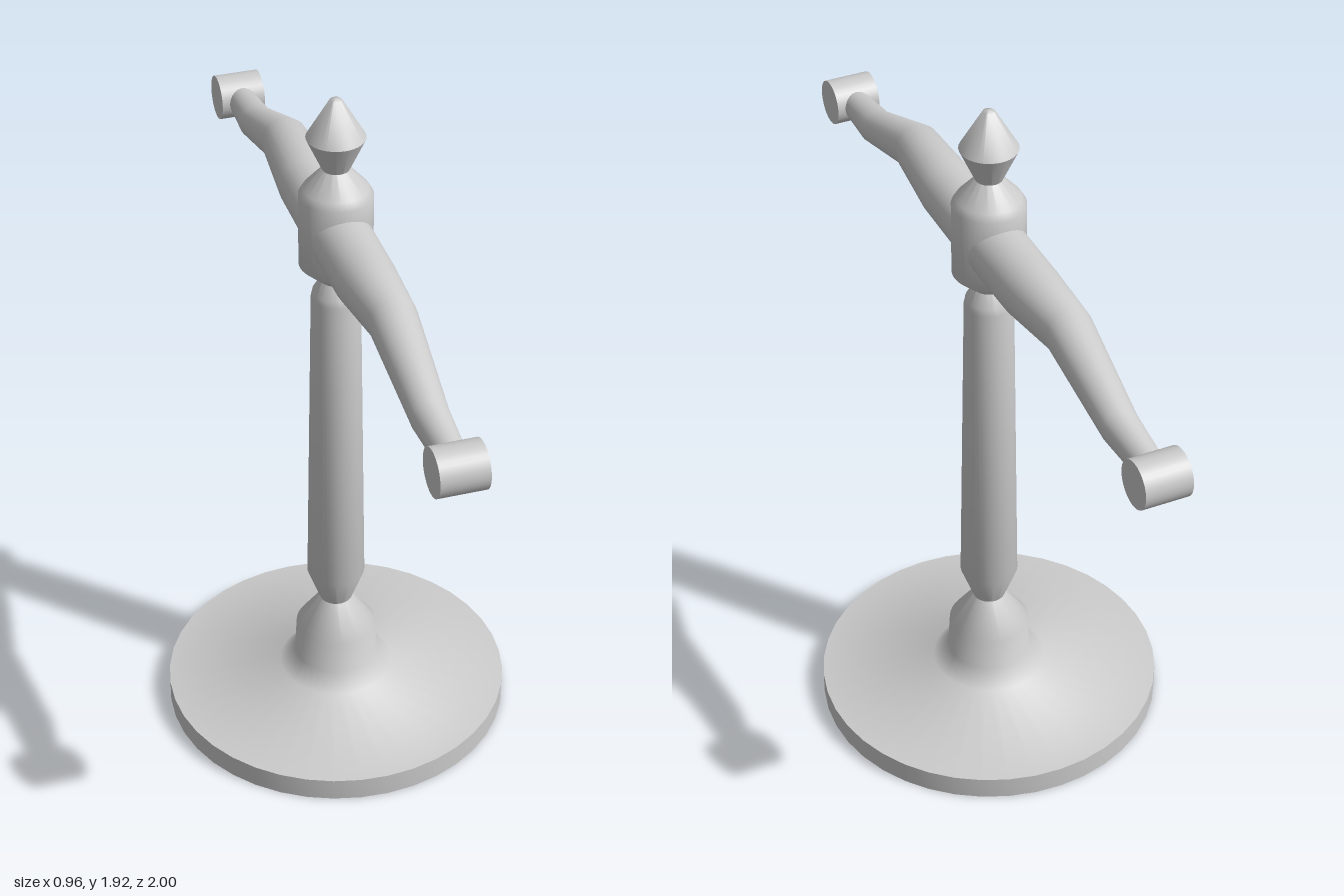
import * as THREE from 'three';
import { toCreasedNormals } from 'three/addons/utils/BufferGeometryUtils.js';

const material = new THREE.MeshStandardMaterial({ color: 0xcccccc });

function addMesh(parent, name, geometry) {
  const mesh = new THREE.Mesh(geometry, material);
  mesh.name = name;
  parent.add(mesh);
  return mesh;
}

function turned(profile) {
  const points = profile.map(([r, y]) => new THREE.Vector2(r, y));
  return toCreasedNormals(new THREE.LatheGeometry(points, 40), 0.9);
}

// Elliptical sections [z, centre y, half width, half height], joined along z
function loft(sections, sides = 28) {
  const positions = [], index = [];
  for (const [z, y, w, h] of sections) {
    for (let j = 0; j < sides; j++) {
      const a = (j / sides) * Math.PI * 2;
      positions.push(w * Math.cos(a), y + h * Math.sin(a), z);
    }
  }
  for (let i = 0; i < sections.length - 1; i++) {
    for (let j = 0; j < sides; j++) {
      const k = (j + 1) % sides;
      const a = i * sides + j, b = i * sides + k;
      index.push(a, b, a + sides, b, b + sides, a + sides);
    }
  }
  const geometry = new THREE.BufferGeometry();
  geometry.setAttribute('position', new THREE.Float32BufferAttribute(positions, 3));
  geometry.setIndex(index);
  geometry.computeVertexNormals();
  return geometry;
}

export function createModel() {
  const model = new THREE.Group();
  model.name = 'balanceStand';

  // Round foot and its collar
  addMesh(model, 'base', turned([
    [0, 0], [0.48, 0], [0.48, 0.065], [0.16, 0.1], [0.117, 0.145],
    [0.112, 0.24], [0.045, 0.335],
  ]));

  // Tapered post
  addMesh(model, 'post', turned([
    [0.045, 0.335], [0.08, 0.43], [0.066, 1.34], [0.062, 1.36], [0.042, 1.395],
  ]));

  // Hub around the arms, with a pointed finial
  addMesh(model, 'hubAndFinial', turned([
    [0.042, 1.395], [0.097, 1.445], [0.097, 1.65], [0.085, 1.67], [0.036, 1.725],
    [0.077, 1.815], [0.016, 1.92], [0, 1.925],
  ]));

  // Drooping beam: one half listed, the other mirrored
  const half = [
    [0.25, 1.54, 0.08, 0.08], [0.465, 1.555, 0.064, 0.066],
    [0.745, 1.46, 0.049, 0.051], [0.92, 1.448, 0.038, 0.038],
  ];
  const mirrored = half.map(([z, ...rest]) => [-z, ...rest]).reverse();
  addMesh(model, 'beam', loft([...mirrored, [0, 1.54, 0.083, 0.08], ...half]));

  // Cross barrels at the beam ends
  for (const [name, side] of [['frontBarrel', 1], ['backBarrel', -1]]) {
    const barrel = addMesh(model, name, new THREE.CylinderGeometry(0.0625, 0.0625, 0.125, 32));
    barrel.rotation.z = Math.PI / 2;
    barrel.position.set(0, 1.447, side * 0.9375);
  }

  return model;
}
